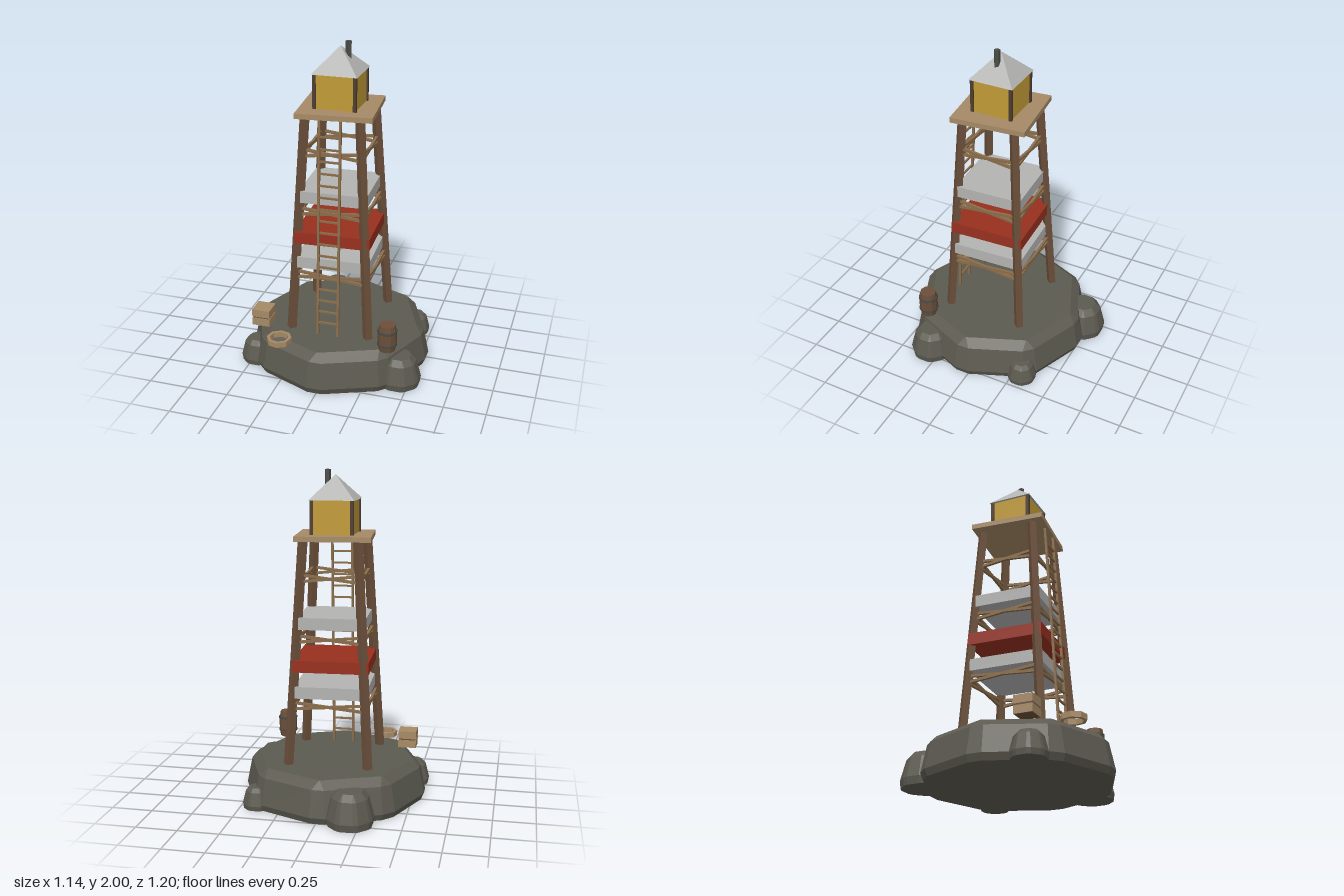
import * as THREE from 'three';

const mat = (name, color) => {
  const m = new THREE.MeshStandardMaterial({ color });
  m.name = name;
  return m;
};

export function createModel() {
  const rock = mat('rock', 0x5c5a50);
  const timber = mat('dark timber', 0x6b4f3a);
  const plank = mat('pale plank', 0xa68a66);
  const pole = mat('pole wood', 0x8a6d4b);
  const yellow = mat('yellow wall', 0xc29b38);
  const pale = mat('pale grey paint', 0xb3b4b2);
  const red = mat('red paint', 0x98301f);
  const post = mat('post brown', 0x4e3d2f);
  const iron = mat('iron', 0x4b4b46);

  const model = new THREE.Group();
  model.name = 'watchtower';
  const CX = -0.011, CZ = 0.04;

  const group = (name, parent, x = 0, y = 0, z = 0) => {
    const g = new THREE.Group();
    g.name = name;
    g.position.set(x, y, z);
    parent.add(g);
    return g;
  };
  const add = (name, geo, m, parent, x = 0, y = 0, z = 0) => {
    const mesh = new THREE.Mesh(geo, m);
    mesh.name = name;
    mesh.position.set(x, y, z);
    parent.add(mesh);
    return mesh;
  };
  const box = (name, w, h, d, m, parent, x, y, z) =>
    add(name, new THREE.BoxGeometry(w, h, d), m, parent, x, y, z);

  // Straight square beam between two points, rolled about its own length
  const UP = new THREE.Vector3(0, 1, 0);
  const beam = (name, a, b, w, m, parent, roll = 0, d = w) => {
    const dir = b.clone().sub(a);
    const mesh = box(name, w, dir.length(), d, m, parent, 0, 0, 0);
    mesh.position.copy(a).add(b).multiplyScalar(0.5);
    mesh.quaternion.setFromUnitVectors(UP, dir.normalize())
      .multiply(new THREE.Quaternion().setFromAxisAngle(UP, roll));
    return mesh;
  };

  // Faceted solid lofted through rings of equal length, bottom first, capped
  const loft = (rings) => {
    const n = rings[0].length, pos = [];
    const tri = (...p) => p.forEach((v) => pos.push(v.x, v.y, v.z));
    for (let r = 0; r < rings.length - 1; r++) {
      for (let i = 0; i < n; i++) {
        const j = (i + 1) % n, lo = rings[r], hi = rings[r + 1];
        tri(lo[i], lo[j], hi[j]);
        tri(lo[i], hi[j], hi[i]);
      }
    }
    const first = rings[0], last = rings[rings.length - 1];
    for (let i = 1; i < n - 1; i++) {
      tri(first[0], first[i + 1], first[i]);
      tri(last[0], last[i], last[i + 1]);
    }
    const g = new THREE.BufferGeometry();
    g.setAttribute('position', new THREE.Float32BufferAttribute(pos, 3));
    g.computeVertexNormals();
    return g;
  };
  // Octagon ring whose corners are cut by the half angle c
  const ring = (r, y, c, turn = 0) => {
    const pts = [];
    for (let i = 0; i < 8; i++) {
      for (const s of [-1, 1]) {
        const a = i * Math.PI / 4 + s * c + turn;
        pts.push(new THREE.Vector3(Math.sin(a) * r, y, Math.cos(a) * r));
      }
    }
    return pts;
  };
  const flatLathe = (points, sides) => {
    const g = new THREE.LatheGeometry(points.map(([x, y]) => new THREE.Vector2(x, y)), sides).toNonIndexed();
    g.computeVertexNormals();
    return g;
  };

  // Rocky island and its boulders
  const island = group('island', model);
  add('islandBase', loft([ring(0.545, 0, 0.08), ring(0.562, 0.04, 0.08),
    ring(0.53, 0.2, 0.07), ring(0.487, 0.245, 0.004)]), rock, island, CX, 0, CZ);
  const boulders = [[-0.195, -0.46, 0.142, 0.205], [0.44, 0.31, 0.13, 0.185],
    [-0.468, 0.305, 0.106, 0.15], [0.398, -0.306, 0.09, 0.13]];
  boulders.forEach(([x, z, r, h], i) => {
    const t = Math.PI / 8;
    add('boulder' + (i + 1), loft([ring(r * 0.95, 0, 0.12, t), ring(r, h * 0.22, 0.12, t),
      ring(r * 0.78, h * 0.82, 0.1, t), ring(r * 0.55, h, 0.01, t)]), rock, island, x, 0, z);
  });

  // Splayed legs
  const tower = group('tower', model, CX, 0, CZ);
  const spread = (y) => 0.242 - 0.078 * (y - 0.245) / 1.35;
  const corner = (k, y) => {
    const [sx, sz] = [[1, 1], [1, -1], [-1, -1], [-1, 1]][k % 4];
    return new THREE.Vector3(sx * spread(y), y, sz * spread(y));
  };
  for (let k = 0; k < 4; k++) {
    beam('leg', corner(k, 0.235), corner(k, 1.6), 0.042, timber, tower, Math.PI / 4);
    // Shallow crossed braces between neighbouring legs
    for (const y of [0.607, 1.012, 1.372]) {
      for (const s of [-1, 1]) {
        beam('brace', corner(k, y - s * 0.02), corner(k + 1, y + s * 0.02), 0.016, pole, tower);
      }
    }
  }

  // Painted day-mark bands
  for (const [y, size, m] of [[0.69, 0.447, pale], [0.852, 0.458, red], [1.106, 0.41, pale]]) {
    box('band', size, 0.072, size, m, tower, 0, y, 0).rotation.y = 0.05;
  }

  // Deck
  box('deck', 0.45, 0.031, 0.45, plank, tower, 0, 1.608, 0).rotation.y = 0.1;

  // Cabin with corner posts, pyramid roof and chimney
  const cabin = group('cabin', tower, 0, 1.623, 0);
  box('walls', 0.244, 0.202, 0.244, yellow, cabin, 0, 0.101, 0);
  for (const x of [-1, 1]) {
    for (const z of [-1, 1]) box('cornerPost', 0.02, 0.202, 0.02, post, cabin, x * 0.12, 0.101, z * 0.12);
  }
  const roof = new THREE.ConeGeometry(0.136 * Math.SQRT2, 0.145, 4).toNonIndexed();
  roof.computeVertexNormals();
  add('roof', roof, pale, cabin, 0, 0.274, 0).rotation.y = Math.PI / 4;
  add('chimney', flatLathe([[0, 0], [0.019, 0], [0.019, 0.12], [0, 0.12]], 5), iron, cabin, 0.048, 0.257, 0);

  // Leaning ladder
  const ladder = group('ladder', tower);
  const at = (x, y) => new THREE.Vector3(x, y, 0.277 - 0.067 * (y - 0.245) / 1.35);
  for (const s of [-1, 1]) beam('ladderRail', at(s * 0.063, 0.24), at(s * 0.063, 1.6), 0.014, pole, ladder);
  for (let i = 0; i < 17; i++) {
    const y = 0.324 + i * 0.0729;
    beam('rung', at(-0.063, y), at(0.063, y), 0.011, pole, ladder);
  }

  // Barrel with hoops
  const barrel = group('barrel', model, 0.373, 0.243, 0.363);
  add('barrelBody', flatLathe([[0, 0], [0.049, 0], [0.057, 0.05], [0.057, 0.115], [0.049, 0.167], [0, 0.167]], 10), timber, barrel);
  for (const y of [0.034, 0.118]) {
    add('hoop', flatLathe([[0.05, y], [0.06, y], [0.06, y + 0.016], [0.05, y + 0.016]], 10), iron, barrel);
  }

  // Crate with pale slats
  const crate = group('crate', model, -0.436, 0.25, 0.283);
  box('crateCore', 0.102, 0.1, 0.102, timber, crate, 0, 0.05, 0);
  for (const y of [0.024, 0.081]) box('crateSlat', 0.112, 0.048, 0.112, plank, crate, 0, y, 0);

  // Coil of rope
  add('ropeCoil', flatLathe([[0.056, 0], [0.075, 0], [0.075, 0.033], [0.056, 0.033], [0.056, 0]], 8),
    plank, model, -0.265, 0.246, 0.476).rotation.y = 0.15;

  return model;
}
